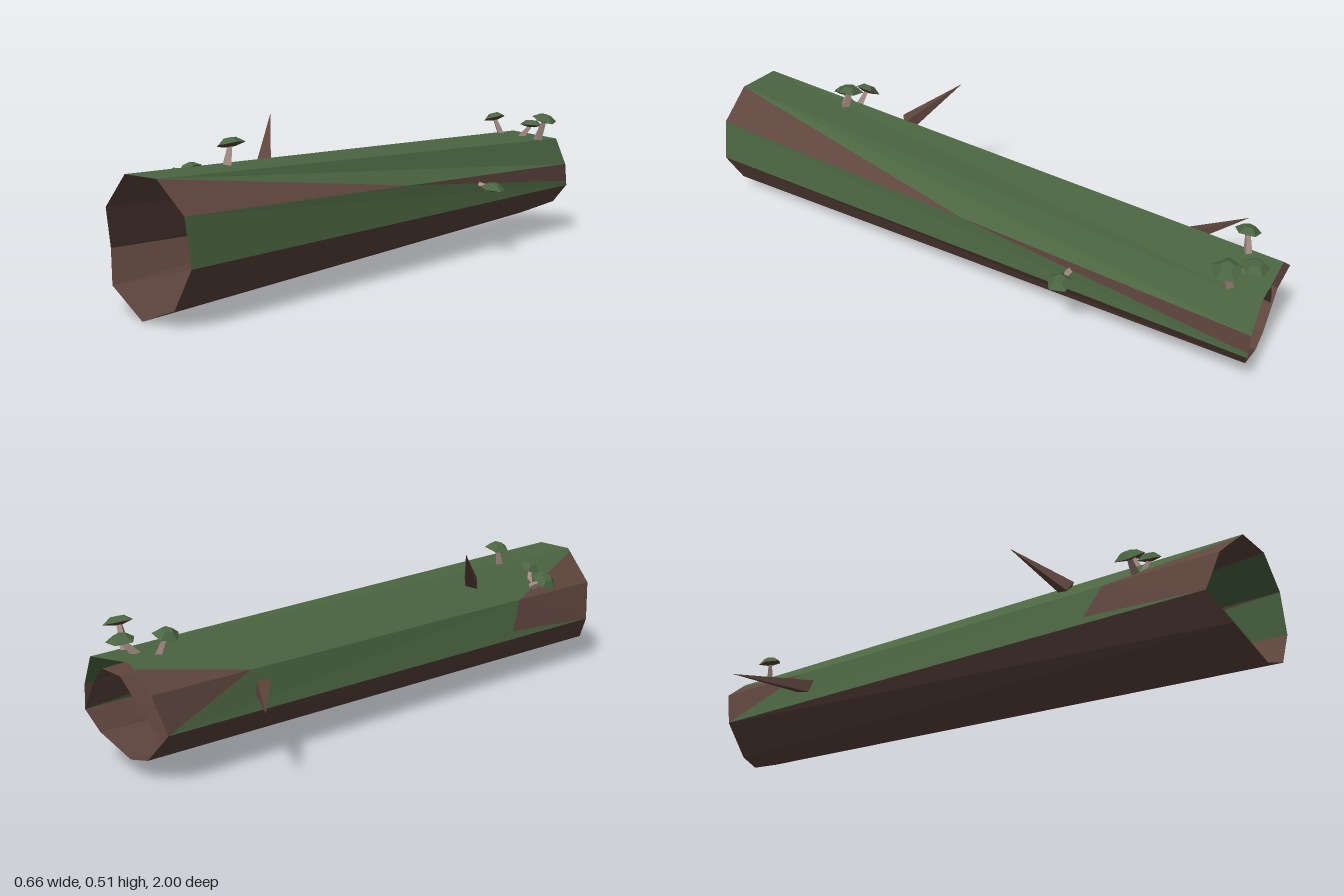
import * as THREE from 'three';

const bark = new THREE.MeshStandardMaterial({ color: 0x5e453d, side: THREE.DoubleSide, flatShading: true });
bark.name = 'bark';
const moss = new THREE.MeshStandardMaterial({ color: 0x4b6541, side: THREE.DoubleSide, flatShading: true });
moss.name = 'moss';
const pale = new THREE.MeshStandardMaterial({ color: 0xa18a81, flatShading: true });
pale.name = 'mushroomStem';

const V = (x, y, z) => new THREE.Vector3(x, y, z);

// Nine-sided rings, clockwise from the upper left when seen from the front
const front = [
  V(0.018, 0.4, 0.99), V(0.16, 0.4, 1), V(0.268, 0.31, 1), V(0.292, 0.172, 1), V(0.222, 0.05, 1),
  V(0.09, 0, 1), V(-0.072, 0.073, 0.97), V(-0.137, 0.165, 0.92), V(-0.105, 0.293, 0.96),
];
const back = [
  V(-0.02, 0.37, -0.985), V(0.165, 0.35, -1), V(0.208, 0.255, -1), V(0.215, 0.175, -1), V(0.17, 0.11, -0.98),
  V(0.04, 0.055, -0.96), V(-0.035, 0.07, -0.95), V(-0.134, 0.17, -0.94), V(-0.112, 0.293, -0.975),
];
const hollow = [
  V(0.04, 0.315, -0.98), V(0.137, 0.315, -0.98), V(0.188, 0.265, -0.98), V(0.215, 0.175, -1), V(0.17, 0.11, -0.98),
  V(0.04, 0.055, -0.96), V(-0.035, 0.07, -0.95), V(-0.09, 0.143, -0.94), V(-0.03, 0.225, -0.96),
];

// A polygon on one side of the log; u runs across the side, t from front to back
function patch(name, material, rear, side, uvs) {
  const next = (side + 1) % 9;
  const pts = uvs.map(([u, t]) => {
    const a = front[side].clone().lerp(rear[side], t);
    const b = front[next].clone().lerp(rear[next], t);
    return a.lerp(b, u);
  });
  const corners = [];
  for (let i = 1; i < pts.length - 1; i++) corners.push(pts[0], pts[i + 1], pts[i]);
  const geo = new THREE.BufferGeometry().setFromPoints(corners);
  geo.computeVertexNormals();
  const mesh = new THREE.Mesh(geo, material);
  mesh.name = name;
  return mesh;
}

// Tapered rod between two points
function rod(name, material, from, to, r0, r1, sides) {
  const dir = to.clone().sub(from);
  const mesh = new THREE.Mesh(new THREE.CylinderGeometry(r1, r0, dir.length(), sides), material);
  mesh.position.copy(from).addScaledVector(dir, 0.5);
  mesh.quaternion.setFromUnitVectors(V(0, 1, 0), dir.normalize());
  mesh.name = name;
  return mesh;
}

// Stem with a flat five-sided cap, mossy above and brown below
function mushroom(base, top, tilt, radius, stemRadius) {
  const group = new THREE.Group();
  group.name = 'mushroom';
  group.add(rod('mushroomStem', pale, base, top, stemRadius, stemRadius * 0.5, 4));
  const cap = new THREE.Group();
  cap.name = 'mushroomCap';
  const upper = new THREE.Mesh(new THREE.CylinderGeometry(radius * 0.45, radius, 0.018, 5, 1, true), moss);
  const crown = new THREE.Mesh(new THREE.CircleGeometry(radius * 0.45, 5, Math.PI / 2), moss);
  const under = new THREE.Mesh(new THREE.CylinderGeometry(radius, radius * 0.3, 0.008, 5), bark);
  upper.name = 'capTop';
  crown.name = 'capCrown';
  under.name = 'capUnderside';
  upper.position.y = 0.009;
  crown.rotation.set(-Math.PI / 2, 0, Math.PI);
  crown.position.y = 0.018;
  under.position.y = -0.0045;
  cap.add(upper, crown, under);
  cap.position.copy(top);
  cap.quaternion.setFromUnitVectors(V(0, 1, 0), tilt.normalize());
  group.add(cap);
  return group;
}

export function createModel() {
  const model = new THREE.Group();
  model.name = 'hollowLog';
  const whole = [[0, 0], [1, 0], [1, 1], [0, 1]];

  // Bare bark underneath
  for (const side of [3, 4, 5, 6]) model.add(patch('barkSide', bark, back, side, whole));

  // Mossy upper sides with bare patches
  const outer = [
    [moss, 0, whole],
    [bark, 1, [[0, 0], [1, 0], [1, 0.5]]],
    [moss, 1, [[0, 0], [1, 0.5], [1, 1], [0, 1]]],
    [moss, 2, [[0, 0], [1, 0], [1, 1], [0.8, 1], [0, 0.5]]],
    [bark, 2, [[0, 0.5], [0.8, 1], [0, 1]]],
    [bark, 7, [[0, 0], [1, 0], [1, 0.2], [0.2, 0.22]]],
    [moss, 7, [[0, 1], [0, 0], [0.2, 0.22], [1, 0.2], [1, 0.82], [0.4, 0.8]]],
    [bark, 7, [[0, 1], [0.4, 0.8], [1, 0.82], [1, 1]]],
    [bark, 8, [[0, 0], [0.9, 0], [0, 0.2]]],
    [moss, 8, [[0.9, 0], [1, 0], [1, 1], [0.8, 1], [0, 0.82], [0, 0.2]]],
    [bark, 8, [[0, 0.82], [0.8, 1], [0, 1]]],
  ];
  for (const [mat, side, uvs] of outer) model.add(patch(mat === moss ? 'mossSide' : 'barePatch', mat, back, side, uvs));

  // Inner wall of the hollow
  for (const side of [0, 2, 7, 8]) model.add(patch('innerWall', bark, hollow, side, whole));
  model.add(patch('innerMoss', moss, hollow, 1, [[0, 0], [1, 0], [1, 1]]));
  model.add(patch('innerWall', bark, hollow, 1, [[0, 0], [1, 1], [0, 1]]));

  // Broken branch spikes
  model.add(rod('branchSpike', bark, V(-0.02, 0.365, 0.41), V(-0.135, 0.51, 0.26), 0.03, 0, 4));
  model.add(rod('branchSpike', bark, V(-0.1, 0.232, -0.58), V(-0.33, 0.242, -0.745), 0.032, 0, 4));

  // Mushrooms: base, top, cap direction, cap radius, stem radius
  const mushrooms = [
    [V(0.045, 0.39, 0.63), V(0.04, 0.453, 0.61), V(-0.25, 1, 0), 0.046, 0.018],
    [V(-0.06, 0.31, 0.67), V(-0.13, 0.35, 0.68), V(-0.7, 0.9, 0), 0.048, 0.016],
    [V(-0.06, 0.31, 0.68), V(-0.035, 0.38, 0.705), V(-0.5, 1, 0.1), 0.04, 0.014],
    [V(0.15, 0.35, -0.89), V(0.18, 0.43, -0.89), V(0.3, 1, 0), 0.048, 0.018],
    [V(0.06, 0.34, -0.89), V(0.09, 0.402, -0.94), V(0, 1, -0.1), 0.045, 0.016],
    [V(0.0, 0.35, -0.88), V(-0.025, 0.428, -0.86), V(-0.3, 1, 0), 0.042, 0.016],
    [V(0.225, 0.24, -0.4), V(0.285, 0.232, -0.4), V(0.15, 1, 0), 0.044, 0.012],
  ];
  for (const m of mushrooms) model.add(mushroom(...m));
  return model;
}
